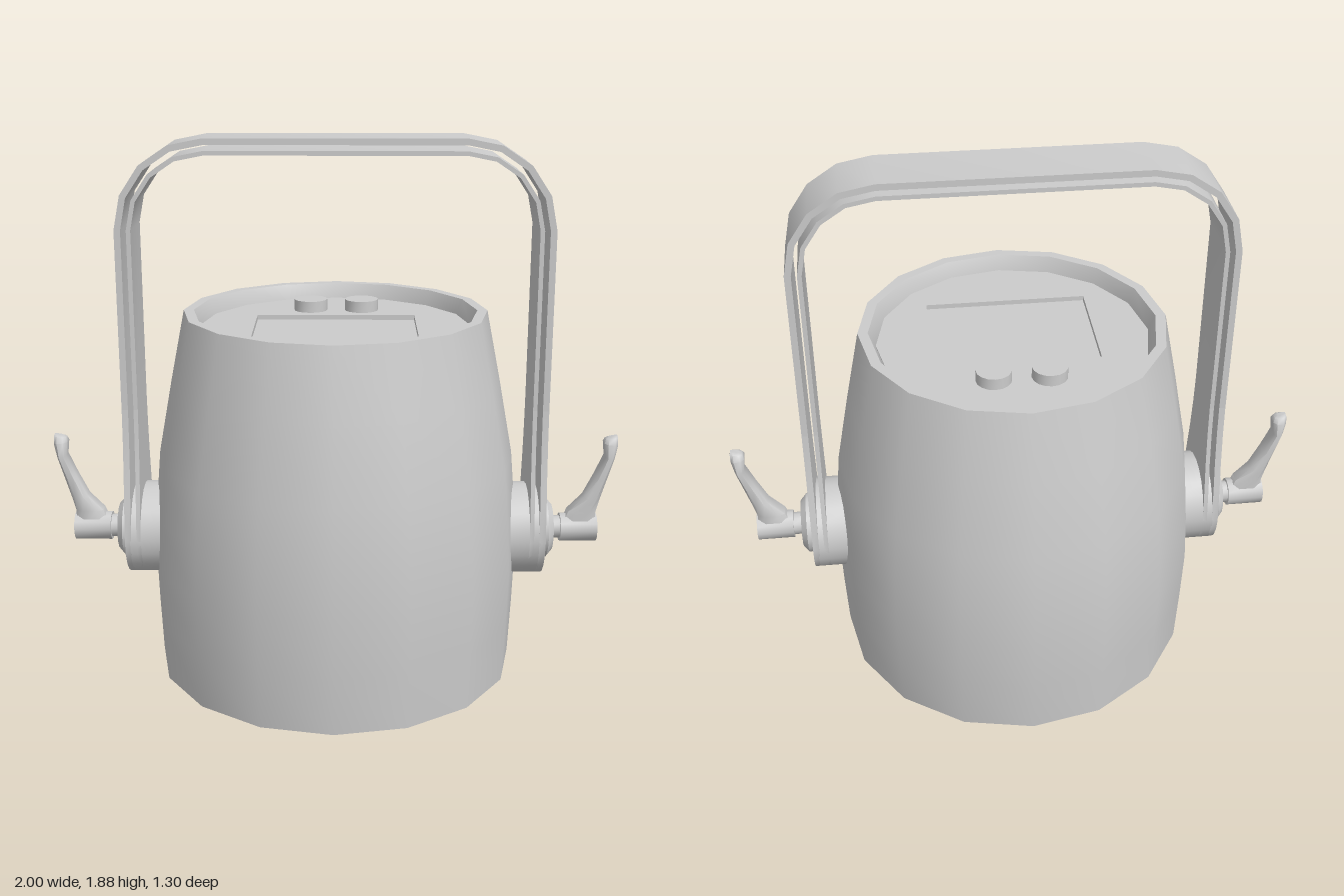
import * as THREE from 'three';
import { toCreasedNormals } from 'three/addons/utils/BufferGeometryUtils.js';

const HUB_Y = 0.485; // height of the handle pivots
const material = new THREE.MeshStandardMaterial({ color: 0xcccccc });

function part(name, geometry, parent, crease = 0.6) {
  const mesh = new THREE.Mesh(toCreasedNormals(geometry, crease), material);
  mesh.name = name;
  parent.add(mesh);
  return mesh;
}

const vecs = (list) => list.map(([x, y]) => new THREE.Vector2(x, y));
const extrude = (shape, depth) =>
  new THREE.ExtrudeGeometry(shape, { depth, bevelEnabled: false, curveSegments: 8 });

// Turned piece lying along +x; profile is [radius, x], from the inner end outwards
function turnedX(profile, segments = 16) {
  return new THREE.LatheGeometry(vecs(profile), segments).rotateZ(-Math.PI / 2).translate(0, HUB_Y, 0);
}

// Upper arch of one strap layer, between two offset rounded outlines
function archGeometry(outer, thickness) {
  const bottom = 0.95, cx = 0.435, cy = 1.572;
  const half = (x) => {
    const r = x - cx, pts = [[x, bottom]];
    for (let i = 0; i <= 4; i++) {
      const a = (i * Math.PI) / 8;
      pts.push([cx + r * Math.cos(a), cy + r * Math.sin(a)]);
    }
    return pts;
  };
  const outline = (x) => {
    const right = half(x);
    return [...right, ...right.map(([px, py]) => [-px, py]).reverse()];
  };
  const points = [...outline(outer), ...outline(outer - thickness).reverse()];
  return extrude(new THREE.Shape(vecs(points)), 0.212).translate(0, 0, -0.106);
}

// Lower end of a strap layer: widens into a round eye
function strapEndGeometry(outer, thickness) {
  const side = [[0.106, 0.95], [0.112, 0.84], [0.126, 0.72], [0.145, 0.61]];
  const pts = side.map(([z, y]) => [-z, y]);
  for (let i = 0; i <= 10; i++) {
    const a = Math.PI + (i * Math.PI) / 10;
    pts.push([0.163 * Math.cos(a), HUB_Y + 0.163 * Math.sin(a)]);
  }
  pts.push(...side.reverse());
  return extrude(new THREE.Shape(vecs(pts)), thickness).rotateY(Math.PI / 2).translate(outer - thickness, 0, 0);
}

// Pivot and clamping lever for the +x side
function createPivot(name) {
  const pivot = new THREE.Group();
  pivot.name = name;
  part('pivotPad', turnedX([[0, 0.56], [0.163, 0.56], [0.163, 0.72], [0, 0.72]], 20), pivot);
  part('washer', turnedX([[0, 0.72], [0.108, 0.72], [0.108, 0.757], [0.085, 0.777], [0, 0.777]]), pivot);
  part('stem', turnedX([[0, 0.76], [0.041, 0.76], [0.041, 0.82], [0, 0.82]], 12), pivot);
  part('leverHub', turnedX([[0, 0.807], [0.051, 0.807], [0.051, 0.938], [0, 0.938]], 12), pivot);

  // Lever arm: cross-sections [inner x, inner y, outer x, outer y, half depth]
  const rows = [
    [0.815, 0.5, 0.932, 0.5, 0.036], [0.835, 0.55, 0.932, 0.55, 0.036],
    [0.888, 0.605, 0.945, 0.6, 0.036], [0.925, 0.68, 0.966, 0.67, 0.036],
    [0.958, 0.755, 0.99, 0.75, 0.036], [0.952, 0.805, 1.0, 0.8, 0.032],
    [0.957, 0.82, 1.0, 0.825, 0.02], [0.97, 0.827, 0.998, 0.832, 0.008],
  ];
  const position = [], index = [], n = 8;
  for (const [x0, y0, x1, y1, d] of rows) {
    for (const [t, z] of [[0, -0.6], [0, 0.6], [0.25, 1], [0.75, 1], [1, 0.6], [1, -0.6], [0.75, -1], [0.25, -1]]) {
      position.push(x0 + (x1 - x0) * t, y0 + (y1 - y0) * t, z * d);
    }
  }
  for (let r = 0; r < rows.length - 1; r++) {
    for (let i = 0; i < n; i++) {
      const a = r * n + i, b = r * n + ((i + 1) % n);
      index.push(a, b, b + n, a, b + n, a + n);
    }
  }
  const top = (rows.length - 1) * n;
  for (let i = 1; i < n - 1; i++) {
    index.push(0, i + 1, i, top, top + i, top + i + 1);
  }
  const lever = new THREE.BufferGeometry();
  lever.setAttribute('position', new THREE.Float32BufferAttribute(position, 3));
  lever.setIndex(index);
  part('leverArm', lever, pivot, 0.9);
  return pivot;
}

export function createModel() {
  const model = new THREE.Group();
  model.name = 'portableUnit';

  // Barrel body with a recessed base and a raised top rim
  part('body', new THREE.LatheGeometry(vecs([
    [0, 0.045], [0.595, 0.045], [0.6, 0], [0.636, 0], [0.645, 0.2], [0.651, 0.4], [0.642, 0.58],
    [0.625, 0.77], [0.576, 1.03], [0.525, 1.282], [0.49, 1.282], [0.465, 1.225], [0.465, 1.19], [0, 1.19],
  ]), 16), model);

  // Top panel with a sunken screen
  const disc = [];
  for (let i = 0; i < 16; i++) {
    const a = (i * Math.PI) / 8;
    disc.push([0.466 * Math.cos(a), 0.466 * Math.sin(a)]);
  }
  const panel = new THREE.Shape(vecs(disc));
  panel.holes.push(new THREE.Path(vecs([[-0.28, -0.245], [-0.28, 0.155], [0.28, 0.155], [0.28, -0.245]])));
  part('topPanel', extrude(panel, 0.03).rotateX(-Math.PI / 2).translate(0, 1.2, 0), model);
  part('screen', new THREE.BoxGeometry(0.56, 0.02, 0.4).translate(0, 1.203, 0.045), model);
  for (const x of [-0.092, 0.092]) {
    part('button', new THREE.CylinderGeometry(0.06, 0.06, 0.05, 16).translate(x, 1.245, -0.25), model);
  }

  // Carrying handle made of two nested straps
  const handle = new THREE.Group();
  handle.name = 'handle';
  model.add(handle);
  for (const [name, outer, thickness] of [['outerStrap', 0.738, 0.022], ['innerStrap', 0.697, 0.015]]) {
    part(name, archGeometry(outer, thickness), handle);
    for (const turn of [0, Math.PI]) {
      part(name + 'End', strapEndGeometry(outer, thickness), handle).rotation.y = turn;
    }
  }

  // Pivots on both sides
  model.add(createPivot('leftPivot'));
  const right = createPivot('rightPivot');
  right.rotation.y = Math.PI;
  model.add(right);
  return model;
}
